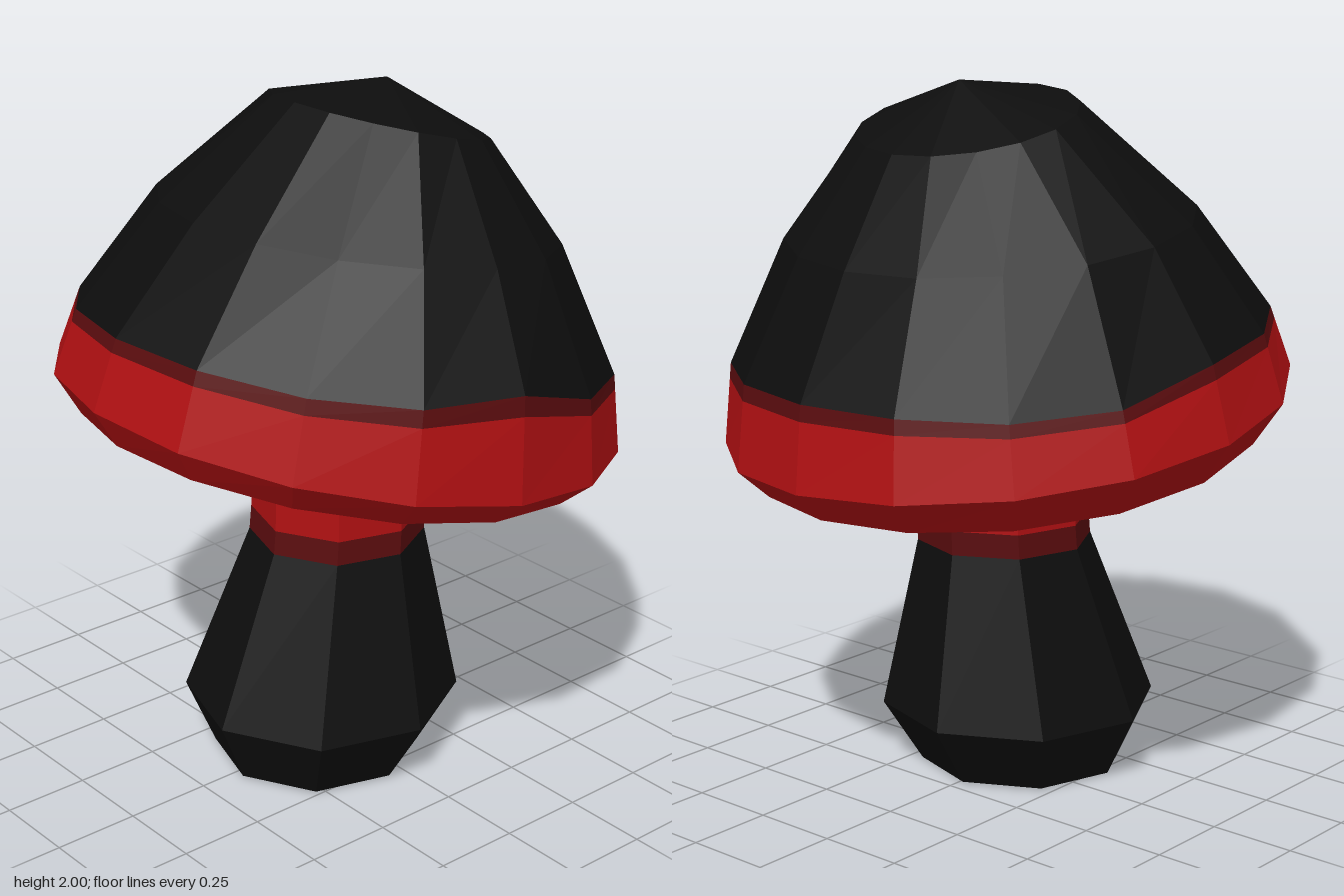
import * as THREE from 'three';

const mat = (name, color) => {
  const m = new THREE.MeshStandardMaterial({ color, flatShading: true });
  m.name = name;
  return m;
};

// One closed cross-section; height is a function of x and z so rings can tilt
function ring(sides, turn, cx, cz, rx, rz, height) {
  return Array.from({ length: sides }, (_, i) => {
    const a = turn + (i / sides) * Math.PI * 2;
    const x = cx + rx * Math.cos(a), z = cz + rz * Math.sin(a);
    return new THREE.Vector3(x, height(x, z), z);
  });
}

const between = (a, b, t) => a.map((p, i) => p.clone().lerp(b[i], t));

// Joins consecutive rings, ordered from the underside outwards and up
function skin(name, material, rings) {
  const pos = [];
  const tri = (...pts) => pts.forEach((p) => pos.push(p.x, p.y, p.z));
  for (let r = 0; r < rings.length - 1; r++) {
    const lo = rings[r], hi = rings[r + 1], n = lo.length;
    for (let i = 0; i < n; i++) {
      const j = (i + 1) % n;
      if (hi[i].distanceTo(hi[j]) > 1e-5) tri(lo[j], hi[i], hi[j]);
      if (lo[i].distanceTo(lo[j]) > 1e-5) tri(lo[i], hi[i], lo[j]);
      else continue;
    }
  }
  const g = new THREE.BufferGeometry();
  g.setAttribute('position', new THREE.Float32BufferAttribute(pos, 3));
  g.computeVertexNormals();
  const mesh = new THREE.Mesh(g, material);
  mesh.name = name;
  return mesh;
}

// Wavy height of the painted edge of the cap, by x
const EDGE = [[-0.75, 1.43], [-0.4, 1.35], [0, 1.335], [0.25, 1.24], [0.5, 1.2], [0.8, 1.2]];
function edgeHeight(x) {
  let k = 0;
  while (k < EDGE.length - 2 && x > EDGE[k + 1][0]) k++;
  const [x0, y0] = EDGE[k], [x1, y1] = EDGE[k + 1];
  return y0 + ((y1 - y0) * (x - x0)) / (x1 - x0);
}

export function createModel() {
  const black = mat('black', 0x0d0d0d);
  const red = mat('red', 0xb01012);
  const darkRed = mat('dark red', 0x5a0c0e);
  const model = new THREE.Group();
  model.name = 'mushroom';

  // Stem: eight leaning sides
  const stemRing = (cx, cz, r, y) => ring(8, -0.09, cx, cz, r, r, () => y);
  const foot = stemRing(-0.085, 0.01, 0.3, 0.005);
  const bulge = stemRing(-0.065, 0.01, 0.4, 0.19);
  const neck = stemRing(-0.015, 0.022, 0.252, 0.685);
  const collar = stemRing(-0.01, 0.022, 0.25, 0.755);
  const stemTop = stemRing(-0.005, 0.022, 0.245, 1.08);
  const stem = new THREE.Group();
  stem.name = 'stem';
  stem.add(
    skin('stemBase', black, [stemRing(-0.085, 0.01, 0, 0), foot, bulge, neck]),
    skin('stemBand', darkRed, [neck, collar]),
    skin('stemNeck', red, [collar, stemTop]),
  );

  // Cap: sixteen sides, tilted down towards +x
  const capRing = (cx, cz, rx, rz, h) => ring(16, 0.065, cx, cz, rx, rz, h);
  const under = (lift) => (x, z) => 0.97 + lift - 0.165 * x - 0.02 * z + 0.05 * x * x;
  const center = capRing(0, 0.01, 0, 0, under(0.06));
  const inner = capRing(0, 0.01, 0.43, 0.43, under(0.05));
  const groove = capRing(0, 0.01, 0.54, 0.54, under(0.015));
  const lip = capRing(-0.01, 0, 0.715, 0.72, under(0));
  const rim = capRing(0, 0, 0.79, 0.81, (x, z) => 1.07 - 0.165 * x - 0.045 * z + 0.04 * x * x);
  const edge = capRing(0.02, 0.01, 0.74, 0.775, edgeHeight);
  const bandLow = between(rim, edge, 0.81);
  const shoulder = capRing(0.075, 0, 0.535, 0.6, (x) => 1.62 - 0.14 * x);
  const crown = capRing(0.12, 0.04, 0.28, 0.33, (x) => 1.895 - 0.27 * (x - 0.12));
  const apex = capRing(0.13, 0.06, 0, 0, () => 2);
  const cap = new THREE.Group();
  cap.name = 'cap';
  cap.add(
    skin('capUnderside', red, [center, inner]),
    skin('undersideRing', darkRed, [inner, groove]),
    skin('capRim', red, [groove, lip, rim, bandLow]),
    skin('capBand', darkRed, [bandLow, edge]),
    skin('capTop', black, [edge, shoulder, crown, apex]),
  );

  model.add(stem, cap);
  return model;
}
